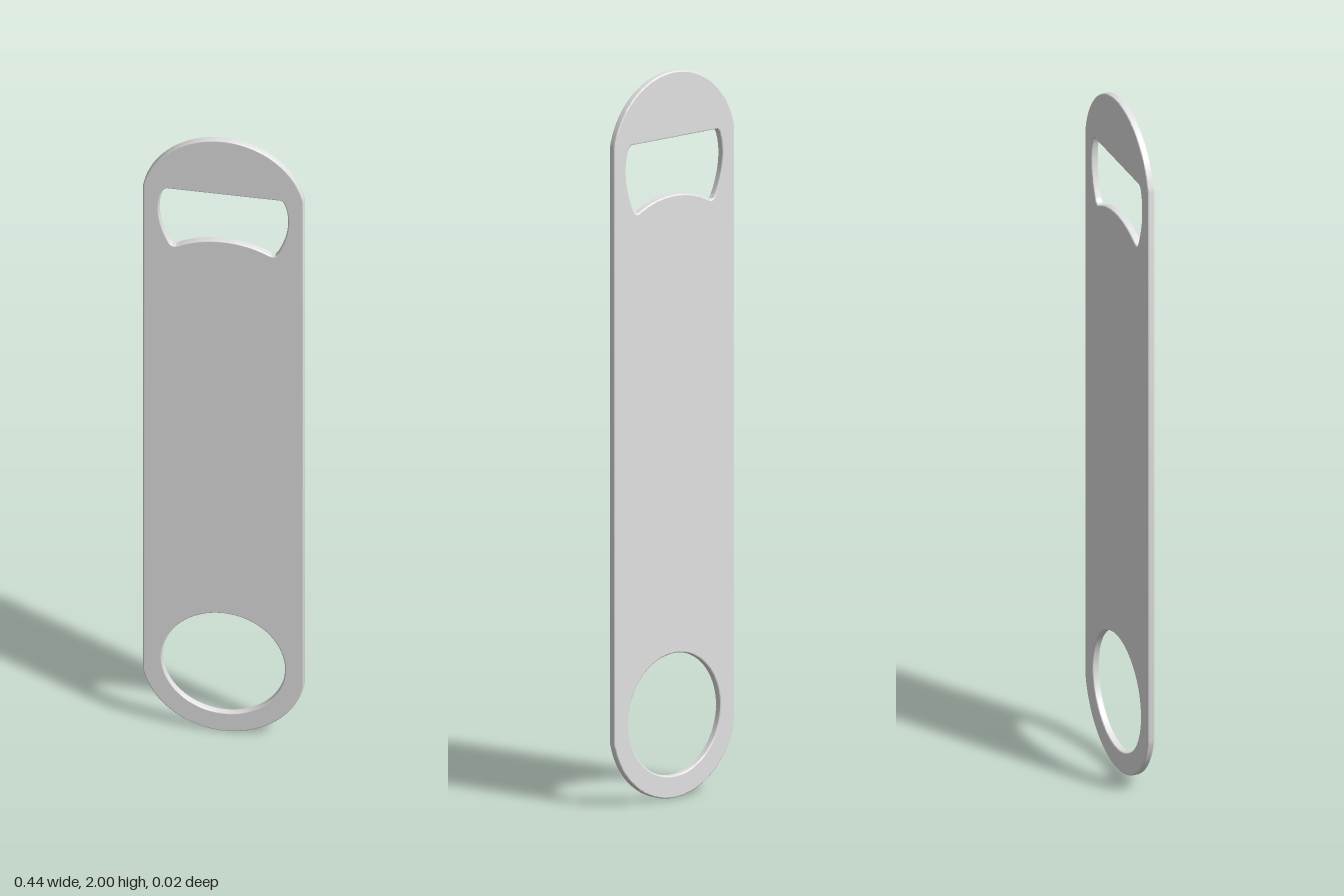
import * as THREE from 'three';
import { toCreasedNormals } from 'three/addons/utils/BufferGeometryUtils.js';

const HALF = 0.22, R = 0.225, H = 2; // half width, end radius, height
const THICK = 0.02, BEVEL = 0.004;

// Long plate outline: straight sides with round ends
function plateOutline() {
  const a = Math.acos(HALF / R);
  const s = new THREE.Shape();
  s.absarc(0, H - R, R, a, Math.PI - a, false);
  s.absarc(0, R, R, Math.PI + a, 2 * Math.PI - a, false);
  s.closePath();
  return s;
}

// Cap opening: flat top lip, bulged sides, arched bottom
function capOpening() {
  const p = new THREE.Path();
  p.moveTo(-0.155, 1.818);
  p.lineTo(0.155, 1.818);
  p.quadraticCurveTo(0.163, 1.816, 0.167, 1.806);
  p.bezierCurveTo(0.184, 1.76, 0.179, 1.7, 0.148, 1.637);
  p.quadraticCurveTo(0.141, 1.623, 0.127, 1.629);
  p.bezierCurveTo(0.05, 1.67, -0.05, 1.67, -0.127, 1.629);
  p.quadraticCurveTo(-0.141, 1.623, -0.148, 1.637);
  p.bezierCurveTo(-0.179, 1.7, -0.184, 1.76, -0.167, 1.806);
  p.quadraticCurveTo(-0.163, 1.816, -0.155, 1.818);
  return p;
}

// Smooth the rounded edges but keep the two large faces perfectly flat
function smoothEdges(geometry) {
  const smooth = toCreasedNormals(geometry, 0.6);
  const { position, normal } = smooth.attributes;
  const faces = geometry.groups[0];
  for (let i = faces.start; i < faces.start + faces.count; i++) {
    normal.setXYZ(i, 0, 0, Math.sign(position.getZ(i)));
  }
  return smooth;
}

export function createModel() {
  const steel = new THREE.MeshStandardMaterial({ color: 0xe2e2e2 });
  steel.name = 'steel';

  const shape = plateOutline();
  const ring = new THREE.Path();
  ring.absarc(0, 0.23, 0.168, 0, Math.PI * 2, true);
  shape.holes.push(capOpening(), ring);

  // Flat plate with softly rounded edges
  const geometry = new THREE.ExtrudeGeometry(shape, {
    depth: THICK - 2 * BEVEL,
    bevelEnabled: true,
    bevelThickness: BEVEL,
    bevelSize: BEVEL,
    bevelOffset: -BEVEL,
    bevelSegments: 3,
    curveSegments: 32,
  });
  geometry.translate(0, 0, BEVEL - THICK / 2);

  const plate = new THREE.Mesh(smoothEdges(geometry), steel);
  plate.name = 'openerPlate';

  const group = new THREE.Group();
  group.name = 'bottleOpener';
  group.add(plate);
  return group;
}
